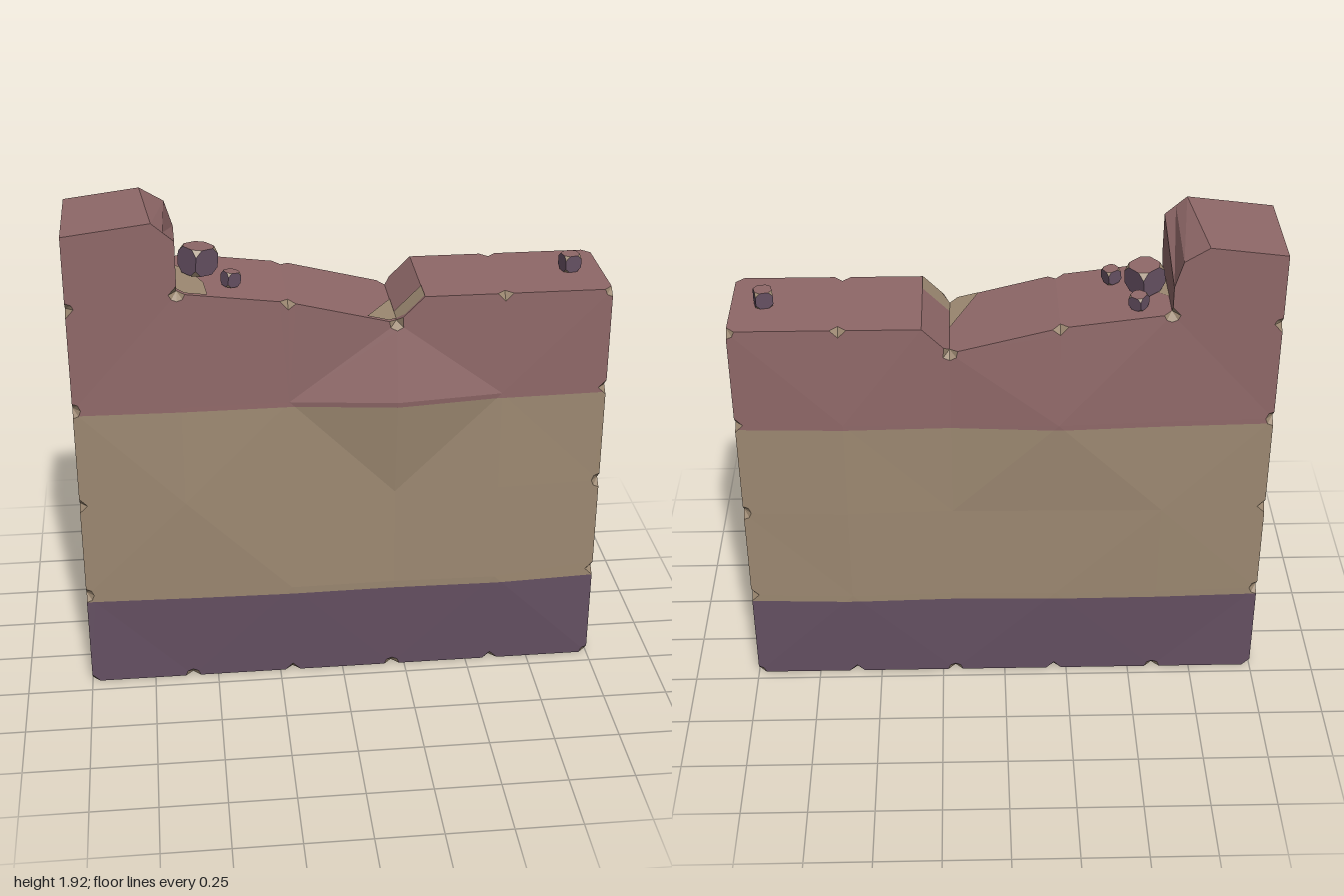
import * as THREE from 'three';

const COLS = [-1, -0.6, -0.2, 0.2, 0.6, 1];
const TOPS = [1.6, 1.65, 1.6, 1.5, 1.6, 1.6];
const NICK = 0.03;
const BANDS = [['plum', -1, 0.37], ['tan', 0.37, 1.18], ['rose', 1.18, 9]];
// surface bulge of the inner grid points, rows y = 0.4, 0.8, 1.2
const FRONT_BULGE = [[0.012, 0.02, 0.015, 0.022], [0.022, 0.012, 0.008, 0.018], [0.008, 0.005, 0.055, 0.012]];
const BACK_BULGE = [[0.012, 0.015, 0.005, 0.016], [0.018, 0.012, 0.005, 0.018], [0.012, 0.032, 0.004, 0.014]];

const vec = (x, y, z) => new THREE.Vector3(x, y, z);

// Collects flat polygons by colour; winding is set from an outward direction.
class Faces {
  constructor() { this.data = {}; }
  add(poly, colour, out) {
    const n = vec(0, 0, 0);
    for (let i = 1; i < poly.length - 1; i++) {
      n.add(poly[i].clone().sub(poly[0]).cross(poly[i + 1].clone().sub(poly[0])));
    }
    const p = n.dot(out) < 0 ? [...poly].reverse() : poly;
    const list = (this.data[colour] ??= []);
    for (let i = 1; i < p.length - 1; i++) {
      for (const v of [p[0], p[i], p[i + 1]]) list.push(v.x, v.y, v.z);
    }
  }
  addBanded(poly, out) {
    for (const [colour, lo, hi] of BANDS) {
      const part = clip(clip(poly, lo, 1), hi, -1);
      if (part.length > 2) this.add(part, colour, out);
    }
  }
  build(materials, names) {
    const group = new THREE.Group();
    for (const [colour, list] of Object.entries(this.data)) {
      const g = new THREE.BufferGeometry();
      g.setAttribute('position', new THREE.Float32BufferAttribute(list, 3));
      g.computeVertexNormals();
      const mesh = new THREE.Mesh(g, materials[colour]);
      mesh.name = names[colour];
      group.add(mesh);
    }
    return group;
  }
}

// Keeps the part of a polygon above (sign 1) or below (sign -1) a height.
function clip(poly, y, sign) {
  const res = [];
  poly.forEach((a, i) => {
    const b = poly[(i + 1) % poly.length];
    const da = (a.y - y) * sign, db = (b.y - y) * sign;
    if (da >= 0) res.push(a);
    if (da * db < 0) res.push(a.clone().lerp(b, da / (da - db)));
  });
  return res;
}

const toward = (a, b) => a.clone().add(b.clone().sub(a).setLength(NICK));

// One broad face of the wall; returns its outline, anticlockwise from the front.
function wallSide(faces, z, side, bulge, towerTop) {
  const nicked = new Set();
  const grid = COLS.map((x, i) => [0, 1, 2, 3, 4].map((j) => {
    const edge = i === 0 || i === 5 || j === 0 || j === 4;
    const v = vec(x, j === 4 ? TOPS[i] : j * 0.4, z + (edge ? 0 : side * bulge[j - 1][i - 1]));
    if (edge) nicked.add(v);
    return v;
  }));
  const out = vec(0, 0, side);
  const triangle = (...t) => {
    const poly = [];
    t.forEach((p, k) => {
      const next = t[(k + 1) % 3], prev = t[(k + 2) % 3];
      if (!nicked.has(p)) return poly.push(p);
      // chipped edge corner
      const a = toward(p, prev), b = toward(p, next);
      const s = vec(p.x, p.y, p.z - side * NICK);
      poly.push(a, b);
      const mid = a.clone().add(b).add(s).divideScalar(3);
      faces.add([a, b, s], 'tan', p.clone().sub(mid));
    });
    faces.addBanded(poly, out);
  };
  const lip = vec(0.3, 1.6, z);
  for (let i = 0; i < 5; i++) {
    for (let j = 0; j < 4; j++) {
      const a = grid[i][j], b = grid[i + 1][j], c = grid[i + 1][j + 1], d = grid[i][j + 1];
      if (i === 3 && j === 3) {
        triangle(a, b, d);
        triangle(d, b, lip);
        triangle(lip, b, c);
      } else if ((i + j) % 2) {
        triangle(a, b, c);
        triangle(a, c, d);
      } else {
        triangle(a, b, d);
        triangle(b, c, d);
      }
    }
  }
  // raised end of the wall
  const tower = [...towerTop.map(([x, y]) => vec(x, y, z)), vec(-1, 1.88, z)];
  const fan = [grid[1][4], ...tower];
  for (let k = 0; k < fan.length - 1; k++) triangle(grid[0][4], fan[k], fan[k + 1]);

  const outline = [
    ...grid.map((c) => c[0]), ...grid[5].slice(1), grid[4][4], lip,
    grid[3][4], grid[2][4], grid[1][4], ...tower,
    grid[0][4], grid[0][3], grid[0][2], grid[0][1],
  ];
  return { outline, nicked };
}

function buildWall(materials) {
  const faces = new Faces();
  const front = wallSide(faces, 0.19, 1, FRONT_BULGE, [[-0.6, 1.85], [-0.64, 1.885], [-0.68, 1.92]]);
  const back = wallSide(faces, -0.21, -1, BACK_BULGE, [[-0.6, 1.76], [-0.63, 1.86], [-0.72, 1.915]]);
  // rim joining the two broad faces
  const count = front.outline.length;
  for (let i = 0; i < count; i++) {
    const k = (i + 1) % count;
    const corner = (s, m, n, dz) => {
      const p = s.outline[m];
      return s.nicked.has(p) ? [vec(p.x, p.y, p.z + dz), toward(p, s.outline[n])] : [p];
    };
    const poly = [
      ...corner(front, i, k, -NICK), ...corner(front, k, i, -NICK).reverse(),
      ...corner(back, k, i, NICK), ...corner(back, i, k, NICK).reverse(),
    ];
    const a = front.outline[i], b = front.outline[k];
    const out = vec(b.y - a.y, a.x - b.x, 0);
    if (a.y === 0 && b.y === 0) faces.add(poly, 'tan', out);
    else faces.addBanded(poly, out);
  }
  // worn patches lying on the broken top
  const up = vec(0, 1, 0);
  const patch = (pts, height) => faces.add(pts.map(([x, z]) => vec(x, height(x) + 0.004, z)), 'tan', up);
  patch([[-0.6, -0.08], [-0.54, -0.02], [-0.5, 0.07], [-0.49, 0.185], [-0.57, 0.185], [-0.6, 0.15]],
    (x) => 1.65 - (x + 0.6) * 0.125);
  patch([[0.2, -0.03], [0.2, 0.155], [0.17, 0.185], [0.09, 0.185]], (x) => 1.5 + (0.2 - x) * 0.25);
  patch([[0.2, 0.09], [0.3, 0.09], [0.3, 0.185], [0.23, 0.185], [0.2, 0.155]], (x) => 1.5 + (x - 0.2));
  const wall = faces.build(materials, { plum: 'lowerBand', tan: 'middleBandAndChips', rose: 'upperBand' });
  wall.name = 'wall';
  return wall;
}

// Stone: a cube with its eight corners cut off.
function buildStone(materials, w, h, cut) {
  const faces = new Faces();
  const axes = ['x', 'y', 'z'];
  const scaled = (v) => v.multiply(vec(w / 2, h / 2, w / 2));
  for (let a = 0; a < 3; a++) {
    for (const s of [1, -1]) {
      const c = 1 - cut;
      const ring = [[1, c], [c, 1], [-c, 1], [-1, c], [-1, -c], [-c, -1], [c, -1], [1, -c]];
      const poly = ring.map(([u, v]) => {
        const p = vec(0, 0, 0);
        p[axes[a]] = s;
        p[axes[(a + 1) % 3]] = u;
        p[axes[(a + 2) % 3]] = v;
        return scaled(p);
      });
      const out = vec(0, 0, 0);
      out[axes[a]] = s;
      faces.add(poly, a === 1 && s > 0 ? 'rose' : 'plum', out);
    }
  }
  for (const x of [1, -1]) for (const y of [1, -1]) for (const z of [1, -1]) {
    const c = 1 - cut;
    faces.add([vec(x * c, y, z), vec(x, y * c, z), vec(x, y, z * c)].map(scaled), 'tan', vec(x, y, z));
  }
  return faces.build(materials, { plum: 'stoneSides', tan: 'stoneCorners', rose: 'stoneTop' });
}

export function createModel() {
  const material = (name, color) => {
    const m = new THREE.MeshStandardMaterial({ color });
    m.name = name;
    return m;
  };
  const materials = {
    plum: material('plum', 0x655062),
    tan: material('tan', 0x9c8871),
    rose: material('rose', 0x8f6868),
  };
  const model = new THREE.Group();
  model.name = 'brokenWall';
  model.add(buildWall(materials));
  // loose stones: x, y, z, width, height, turn, tilt
  const stones = [
    [-0.515, 1.7, -0.015, 0.105, 0.1, 0.65, -0.1],
    [-0.4, 1.658, 0.08, 0.054, 0.054, 0.5, -0.12],
    [-0.485, 1.664, -0.13, 0.054, 0.054, 0.9, -0.12],
    [0.88, 1.633, -0.015, 0.064, 0.064, 0.25, 0],
  ];
  stones.forEach(([x, y, z, w, h, turn, tilt], i) => {
    const stone = buildStone(materials, w, h, 0.5);
    stone.name = `looseStone${i + 1}`;
    stone.position.set(x, y, z);
    stone.rotation.set(0, turn, tilt);
    model.add(stone);
  });
  return model;
}
